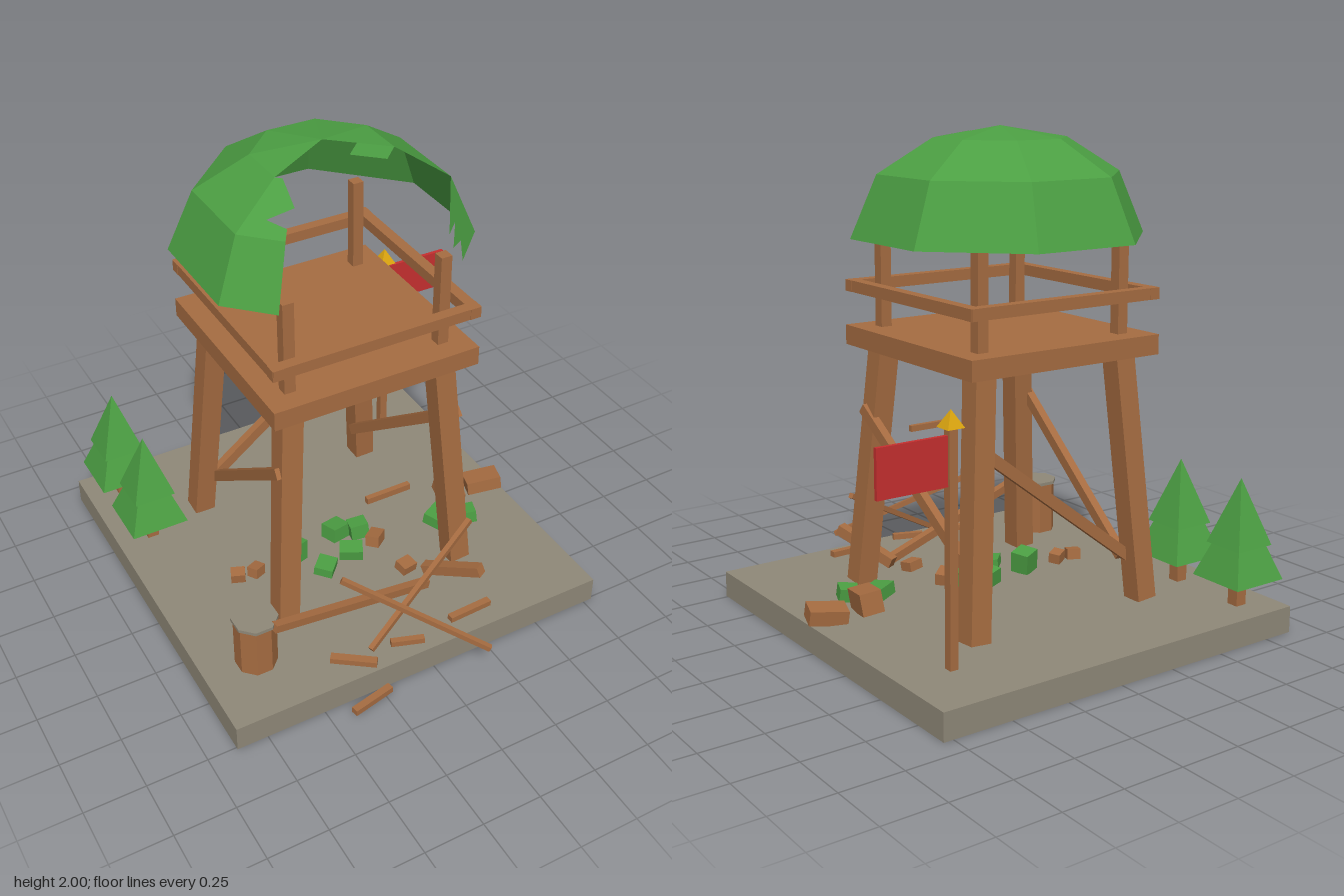
import * as THREE from 'three';

const mat = (name, color, side = THREE.FrontSide) =>
  new THREE.MeshStandardMaterial({ name, color, side, flatShading: true });

export function createModel() {
  const wood = mat('wood', 0xa66c41);
  const stone = mat('stone', 0x8f8878, THREE.DoubleSide);
  const foliage = mat('foliage green', 0x4c9f43, THREE.DoubleSide);
  const red = mat('flag red', 0xc62f2f);
  const gold = mat('gold', 0xd9a30f);

  const model = new THREE.Group();
  model.name = 'ruinedWatchtower';
  const CX = -0.045, CZ = -0.075;

  const group = (name, x = 0, z = 0) => {
    const g = new THREE.Group();
    g.name = name;
    g.position.set(x, 0, z);
    model.add(g);
    return g;
  };
  const add = (parent, name, geo, material, x, y, z) => {
    const m = new THREE.Mesh(geo, material);
    m.name = name;
    m.position.set(x, y, z);
    parent.add(m);
    return m;
  };
  const box = (parent, name, material, w, h, d, x, y, z) =>
    add(parent, name, new THREE.BoxGeometry(w, h, d), material, x, y, z);

  // Square beam running from point a to point b
  const beam = (parent, name, a, b, w, h = w, upright = false) => {
    const p = new THREE.Vector3(...a), q = new THREE.Vector3(...b);
    const m = new THREE.Mesh(new THREE.BoxGeometry(w, h, p.distanceTo(q)), wood);
    m.name = name;
    if (upright) m.up.set(0, 0, 1);
    m.position.copy(p).add(q).multiplyScalar(0.5);
    m.lookAt(q);
    parent.add(m);
  };
  // Square pyramid with sides along x and z
  const pyramid = (parent, name, material, half, h, x, y, z) => {
    const g = new THREE.CylinderGeometry(0, half * Math.SQRT2, h, 4).rotateY(Math.PI / 4);
    return add(parent, name, g, material, x, y + h / 2, z);
  };

  // Ground slab, hollow underneath
  const slab = new THREE.BoxGeometry(1.67, 0.11, 1.67);
  const faces = Array.from(slab.index.array);
  faces.splice(18, 6);
  slab.setIndex(faces);
  slab.clearGroups();
  add(model, 'groundSlab', slab, stone, CX, 0.055, CZ);

  // Tower frame
  const tower = group('tower', CX, CZ);
  for (const sx of [-1, 1]) for (const sz of [-1, 1]) {
    beam(tower, 'leg', [sx * 0.411, 0.112, sz * 0.411], [sx * 0.333, 1.13, sz * 0.333], 0.09, 0.09, true);
    box(tower, 'roofPost', wood, 0.047, 0.4, 0.047, sx * 0.334, 1.39, sz * 0.334);
  }
  box(tower, 'platform', wood, 0.89, 0.08, 0.89, 0, 1.16, 0);
  for (const s of [-1, 1]) {
    box(tower, 'railing', wood, 0.89, 0.046, 0.046, 0, 1.362, s * 0.42);
    box(tower, 'railing', wood, 0.046, 0.046, 0.89, s * 0.42, 1.362, 0);
    beam(tower, 'sideBrace', [s * 0.345, 0.29, -0.365], [s * 0.4, 0.86, 0.385], 0.035, 0.045);
  }
  beam(tower, 'backBrace', [-0.365, 0.29, -0.37], [0.385, 0.86, -0.37], 0.035, 0.045);

  // Broken octagonal dome: u runs along the sector, v from rim (0) to apex (3)
  const rings = [[0.59, 1.575], [0.485, 1.82], [0.268, 1.955], [0, 2.0]];
  const corner = (k, v) => {
    const i = Math.min(Math.floor(v), 2), f = v - i;
    const r = THREE.MathUtils.lerp(rings[i][0], rings[i + 1][0], f);
    const y = THREE.MathUtils.lerp(rings[i][1], rings[i + 1][1], f);
    const a = (22.5 + 45 * k) * Math.PI / 180;
    return new THREE.Vector3(Math.sin(a) * r, y, Math.cos(a) * r);
  };
  const verts = [];
  const patch = (k, outline) => {
    const pts = outline.map(([u, v]) => new THREE.Vector2(u, v));
    for (const tri of THREE.ShapeUtils.triangulateShape(pts, []))
      for (const i of tri) {
        const { x: u, y: v } = pts[i];
        verts.push(...corner(k, v).lerp(corner(k + 1, v), u).toArray());
      }
  };
  for (let k = 1; k <= 5; k++) {
    patch(k, [[0, 0], [1, 0], [1, 1], [0, 1]]);
    patch(k, [[0, 1], [1, 1], [1, 2], [0, 2]]);
    patch(k, [[0, 2], [1, 2], [0.5, 3]]);
  }
  // Jagged remains beside the hole
  patch(0, [[0.5, 0], [1, 0], [1, 1], [0.42, 0.5], [0.66, 0.5], [0.4, 0.3], [0.62, 0.22]]);
  patch(0, [[0.5, 2], [1, 2], [1, 2.52], [0, 2.52]]);
  patch(6, [[0, 0], [0.5, 0], [0.5, 1], [0, 1]]);
  patch(6, [[0, 1], [0.5, 1], [0.48, 1.2], [0.22, 1.3], [0.5, 1.55], [0.15, 2], [0, 2]]);
  const dome = new THREE.BufferGeometry();
  dome.setAttribute('position', new THREE.Float32BufferAttribute(verts, 3));
  dome.computeVertexNormals();
  add(tower, 'brokenDomeRoof', dome, foliage, 0, 0, 0);

  // Pine trees
  for (const z of [-0.765, -0.42]) {
    const tree = group('pineTree', -0.725, z);
    box(tree, 'trunk', wood, 0.05, 0.13, 0.05, 0, 0.17, 0);
    pyramid(tree, 'lowerBranches', foliage, 0.125, 0.34, 0, 0.225, 0);
    pyramid(tree, 'upperBranches', foliage, 0.09, 0.27, 0, 0.365, 0);
  }

  // Flagpole
  const flag = group('flagpole', 0.568, -0.633);
  box(flag, 'pole', wood, 0.035, 0.9, 0.035, 0, 0.56, 0);
  pyramid(flag, 'finial', gold, 0.036, 0.065, 0, 1.005, 0);
  box(flag, 'banner', red, 0.29, 0.185, 0.016, 0.162, 0.887, 0);

  // Capped stump
  const stump = group('stump', -0.655, 0.475);
  const drum = (r, h) => new THREE.CylinderGeometry(r, r, h, 8).rotateY(Math.PI / 8);
  add(stump, 'stumpBody', drum(0.086, 0.23), wood, 0, 0.22, 0);
  add(stump, 'stumpCap', drum(0.094, 0.014), stone, 0, 0.342, 0);

  // Fallen planks: start, end, width, height
  const planks = group('fallenPlanks');
  [
    [[-0.61, 0.335, 0.553], [0.155, 0.13, 0.447], 0.035, 0.035],
    [[-0.295, 0.41, 0.52], [0.18, 0.128, 0.89], 0.022, 0.022],
    [[-0.24, 0.128, 0.665], [0.325, 0.435, 0.487], 0.022, 0.022],
    [[0.19, 0.14, 0.375], [0.315, 0.255, 0.605], 0.045, 0.045],
    [[-0.4, 0.123, 0.622], [-0.25, 0.123, 0.732], 0.035, 0.025],
    [[-0.15, 0.123, 0.667], [-0.02, 0.123, 0.712], 0.026, 0.025],
    [[0.13, 0.123, 0.668], [0.325, 0.123, 0.66], 0.03, 0.025],
    [[-0.405, 0.014, 0.825], [-0.218, 0.014, 0.785], 0.03, 0.026],
    [[-0.14, 0.698, 0.442], [0.052, 0.698, 0.442], 0.022, 0.026],
  ].forEach(([a, b, w, h]) => beam(planks, 'plank', a, b, w, h));

  // Rubble: material, x, z, width, height, depth, turn
  const rubble = group('rubble');
  [
    [wood, 0.715, 0.015, 0.155, 0.06, 0.1, -0.3],
    [wood, 0.535, 0.02, 0.09, 0.09, 0.15, -0.2],
    [wood, -0.44, 0.04, 0.06, 0.045, 0.05, 0.5],
    [wood, -0.52, 0.03, 0.06, 0.045, 0.05, -0.4],
    [wood, 0.1, 0.11, 0.08, 0.05, 0.06, 0.7],
    [wood, 0.13, 0.32, 0.07, 0.04, 0.06, 0.2],
    [foliage, 0.53, 0.17, 0.08, 0.055, 0.075, -0.35],
    [foliage, 0.42, 0.12, 0.12, 0.05, 0.09, 0.5],
    [foliage, -0.255, 0.03, 0.085, 0.09, 0.08, 0.4],
    [foliage, -0.03, 0.13, 0.1, 0.05, 0.07, -0.5],
    [foliage, -0.03, -0.01, 0.09, 0.065, 0.08, 0.3],
    [foliage, -0.17, 0.16, 0.09, 0.04, 0.08, 0.8],
    [foliage, 0.06, 0.03, 0.08, 0.07, 0.07, -0.2],
  ].forEach(([m, x, z, w, h, d, turn], i) => {
    const chunk = box(rubble, 'rubbleChunk', m, w, h, d, x, 0.115 + h / 2, z);
    chunk.rotation.set(i % 2 ? 0.14 : -0.1, turn, i % 3 ? -0.1 : 0.08);
  });

  return model;
}
